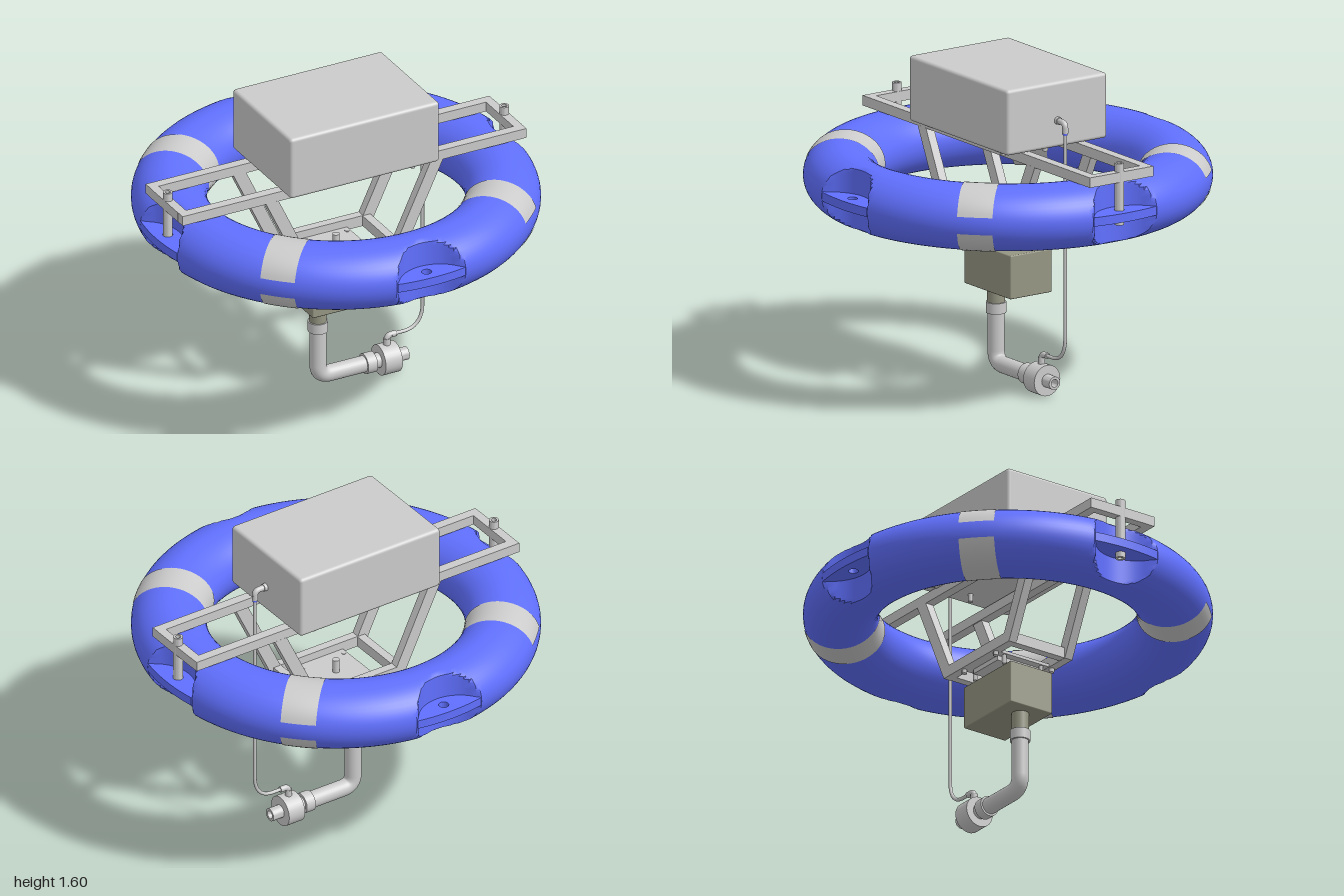
import * as THREE from 'three';
import { toCreasedNormals } from 'three/addons/utils/BufferGeometryUtils.js';
import { RoundedBoxGeometry } from 'three/addons/geometries/RoundedBoxGeometry.js';

const mat = (color) => new THREE.MeshStandardMaterial({ color });
const grey = mat(0xcccccc), blue = mat(0x6070ff), white = mat(0xffffff), olive = mat(0x969683);
const V = (x, y, z = 0) => new THREE.Vector3(x, y, z);

// Ring: elliptical section swept round y, with four vertical cylindrical scoops
const RING = { y: 1.05, r: 0.813, a: 0.185, b: 0.163 };
const SCOOP = { d: 1.07, r: 0.202 };

// Radius at which a ray from the centre enters the nearest scoop
function scoopLimit(theta) {
  const q = Math.PI / 2;
  const t = theta - Math.round(theta / q) * q;
  const side = SCOOP.d * Math.sin(t);
  if (Math.abs(side) >= SCOOP.r) return Infinity;
  return SCOOP.d * Math.cos(t) - Math.sqrt(SCOOP.r ** 2 - side ** 2);
}

// Surface patch of the ring; angle(u, radius) gives the angle round y
function ringPatch(angle, nu, nv, phi0, phi1, offset, scooped) {
  const pos = [], index = [];
  for (let i = 0; i <= nu; i++) {
    for (let j = 0; j <= nv; j++) {
      const phi = phi0 + (phi1 - phi0) * j / nv;
      let r = RING.r + (RING.a + offset) * Math.cos(phi);
      const theta = angle(i / nu, r);
      if (scooped) r = Math.min(r, scoopLimit(theta));
      pos.push(r * Math.sin(theta), RING.y + (RING.b + offset) * Math.sin(phi), r * Math.cos(theta));
      if (i < nu && j < nv) {
        const a = i * (nv + 1) + j, b = a + nv + 1;
        index.push(a, b, b + 1, a, b + 1, a + 1);
      }
    }
  }
  const g = new THREE.BufferGeometry();
  g.setAttribute('position', new THREE.Float32BufferAttribute(pos, 3));
  g.setIndex(index);
  return toCreasedNormals(g, 0.6);
}

// Flat lug left standing inside each scoop, with a round hole
function lugGeometry() {
  const s = new THREE.Shape();
  const R = 0.998, r = SCOOP.r + 0.005, half = Math.asin(0.186 / R);
  s.absarc(0, 0, R, Math.PI / 2 - half, Math.PI / 2 + half, false);
  const e = Math.atan2(R * Math.cos(half) - SCOOP.d, -0.186) + 2 * Math.PI;
  s.absarc(0, SCOOP.d, r, e, 3 * Math.PI - e, false);
  const hole = new THREE.Path();
  hole.absarc(0, 0.93, 0.025, 0, Math.PI * 2, true);
  s.holes.push(hole);
  return new THREE.ExtrudeGeometry(s, { depth: 0.045, bevelEnabled: false, curveSegments: 24 })
    .rotateX(Math.PI / 2).translate(0, 1.073, 0);
}

export function createModel() {
  const model = new THREE.Group();
  model.name = 'samplingBuoy';
  const add = (name, geo, material = grey, x = 0, y = 0, z = 0) => {
    const m = new THREE.Mesh(geo, material);
    m.name = name;
    m.position.set(x, y, z);
    model.add(m);
    return m;
  };
  // Box and cylinders given by their extents
  const box = (name, x0, x1, y0, y1, z0, z1, m) =>
    add(name, new THREE.BoxGeometry(x1 - x0, y1 - y0, z1 - z0), m, (x0 + x1) / 2, (y0 + y1) / 2, (z0 + z1) / 2);
  const cylY = (name, r, x, y0, y1, z = 0, m = grey, sides = 28) =>
    add(name, new THREE.CylinderGeometry(r, r, y1 - y0, sides), m, x, (y0 + y1) / 2, z);
  const cylX = (name, r, x0, x1, y, m = grey) =>
    add(name, new THREE.CylinderGeometry(r, r, x1 - x0, 32).rotateZ(Math.PI / 2), m, (x0 + x1) / 2, y, 0);
  // Open-bored tube standing on y = 0
  const bored = (ro, ri, h) => toCreasedNormals(new THREE.LatheGeometry(
    [[ri, 0], [ro, 0], [ro, h], [ri, h], [ri, 0]].map(([a, b]) => new THREE.Vector2(a, b)), 28), 0.6);

  // Float ring
  add('floatRing', ringPatch((u) => u * Math.PI * 2, 360, 48, 0, Math.PI * 2, 0, true), blue);
  const lug = lugGeometry();
  for (let k = 0; k < 4; k++) {
    add('lug', lug, blue).rotation.y = k * Math.PI / 2;
    // Parallel-sided reflective band, open along the outer edge
    const band = ringPatch((u, r) => (2 * u - 1) * Math.asin(0.0875 / r), 8, 44, 0.265, Math.PI * 2 - 0.265, 0.003, false);
    add('reflectiveBand', band, white).rotation.y = Math.PI / 4 + k * Math.PI / 2;
  }

  // Top frame and hollow mounting posts
  for (const s of [-1, 1]) {
    box('frameRail', -0.95, 0.95, 1.217, 1.268, s * 0.165 - 0.025, s * 0.165 + 0.025);
    box('frameEnd', s * 0.928 - 0.023, s * 0.928 + 0.023, 1.217, 1.268, -0.14, 0.14);
    add('mountingPost', bored(0.024, 0.013, 0.31), grey, s * 0.93, 1.0, 0);
  }

  // Equipment case with its feet and underside fittings
  add('equipmentCase', new RoundedBoxGeometry(0.826, 0.33, 0.6, 4, 0.018), grey, 0, 1.44, 0);
  for (const s of [-1, 1]) {
    box('caseFoot', 0.26, 0.33, 1.262, 1.28, s * 0.225 - 0.035, s * 0.225 + 0.035);
    cylY('footBolt', 0.012, 0.295, 1.245, 1.28, s * 0.24);
    box('caseFoot', -0.33, -0.26, 1.262, 1.28, s * 0.225 - 0.035, s * 0.225 + 0.035);
  }
  cylY('drainFitting', 0.013, 0.31, 1.235, 1.28);

  // Hanging cradle: two trapezoid side frames joined at the bottom
  const trap = new THREE.Shape([
    [-0.49, 1.22], [-0.27, 0.755], [0.27, 0.755], [0.49, 1.22],
    [0.42, 1.22], [0.228, 0.812], [-0.228, 0.812], [-0.42, 1.22],
  ].map(([x, y]) => new THREE.Vector2(x, y)));
  const trapGeo = new THREE.ExtrudeGeometry(trap, { depth: 0.045, bevelEnabled: false });
  for (const s of [-1, 1]) {
    add('cradleFrame', trapGeo, grey, 0, 0, s * 0.168 - 0.0225);
    box('cradleCrossbar', s * 0.247 - 0.022, s * 0.247 + 0.022, 0.756, 0.811, -0.15, 0.15);
    for (const x of [-0.13, 0.13]) {
      cylY('cradleBolt', 0.014, x, 0.735, 0.76, s * 0.168, grey, 6);
      cylY('plateBolt', 0.012, x * 0.93, 0.71, 0.775, s * 0.11, grey, 6);
    }
  }
  box('mountingPlate', -0.14, 0.14, 0.756, 0.772, -0.15, 0.15);
  box('lowerPlate', -0.1, 0.1, 0.732, 0.757, -0.135, 0.135);
  box('mountBlock', -0.06, 0.06, 0.695, 0.735, -0.06, 0.06);
  cylY('centreBolt', 0.018, 0, 0.765, 0.84);

  // Pump housing
  add('pumpHousing', new RoundedBoxGeometry(0.39, 0.22, 0.25, 2, 0.006), olive, 0, 0.588, 0);

  // Drop pipe with collar and elbow
  cylY('pipeOutlet', 0.043, -0.1, 0.37, 0.485, 0, olive);
  cylY('pipeCollar', 0.05, -0.1, 0.332, 0.386);
  const pipe = new THREE.CurvePath();
  pipe.add(new THREE.LineCurve3(V(-0.1, 0.35), V(-0.1, 0.145)));
  pipe.add(new THREE.QuadraticBezierCurve3(V(-0.1, 0.145), V(-0.1, 0.08), V(-0.035, 0.08)));
  pipe.add(new THREE.LineCurve3(V(-0.035, 0.08), V(0.17, 0.08)));
  add('dropPipe', new THREE.TubeGeometry(pipe, 70, 0.042, 28));

  // Flow sensor at the end of the pipe
  cylX('sensorCollar', 0.052, 0.153, 0.205, 0.08);
  cylX('sensorNeck', 0.038, 0.2, 0.24, 0.08);
  cylX('sensorBody', 0.078, 0.235, 0.328, 0.08);
  add('sensorNozzle', bored(0.033, 0.02, 0.07).rotateZ(-Math.PI / 2), grey, 0.32, 0.08, 0);

  // Hose fittings and hose up to the case
  cylY('lowerStub', 0.018, 0.28, 0.15, 0.19);
  const elbow = (name, a, corner, b) =>
    add(name, new THREE.TubeGeometry(new THREE.QuadraticBezierCurve3(a, corner, b), 14, 0.015, 16));
  elbow('lowerElbow', V(0.28, 0.175), V(0.28, 0.205), V(0.305, 0.205));
  cylX('lowerFitting', 0.015, 0.303, 0.33, 0.205);
  elbow('upperElbow', V(0.45, 1.41), V(0.478, 1.41), V(0.478, 1.385));
  cylX('upperFitting', 0.015, 0.41, 0.452, 1.41);
  cylX('upperFittingNut', 0.019, 0.41, 0.43, 1.41);
  cylY('hoseSocket', 0.015, 0.478, 1.36, 1.387);
  cylY('hoseRing', 0.012, 0.478, 1.35, 1.362, 0, blue);
  const hose = new THREE.CurvePath();
  hose.add(new THREE.LineCurve3(V(0.32, 0.205), V(0.37, 0.205)));
  hose.add(new THREE.CubicBezierCurve3(V(0.37, 0.205), V(0.44, 0.205), V(0.478, 0.25), V(0.478, 0.33)));
  hose.add(new THREE.LineCurve3(V(0.478, 0.33), V(0.478, 1.37)));
  add('hose', new THREE.TubeGeometry(hose, 120, 0.009, 12));

  return model;
}
